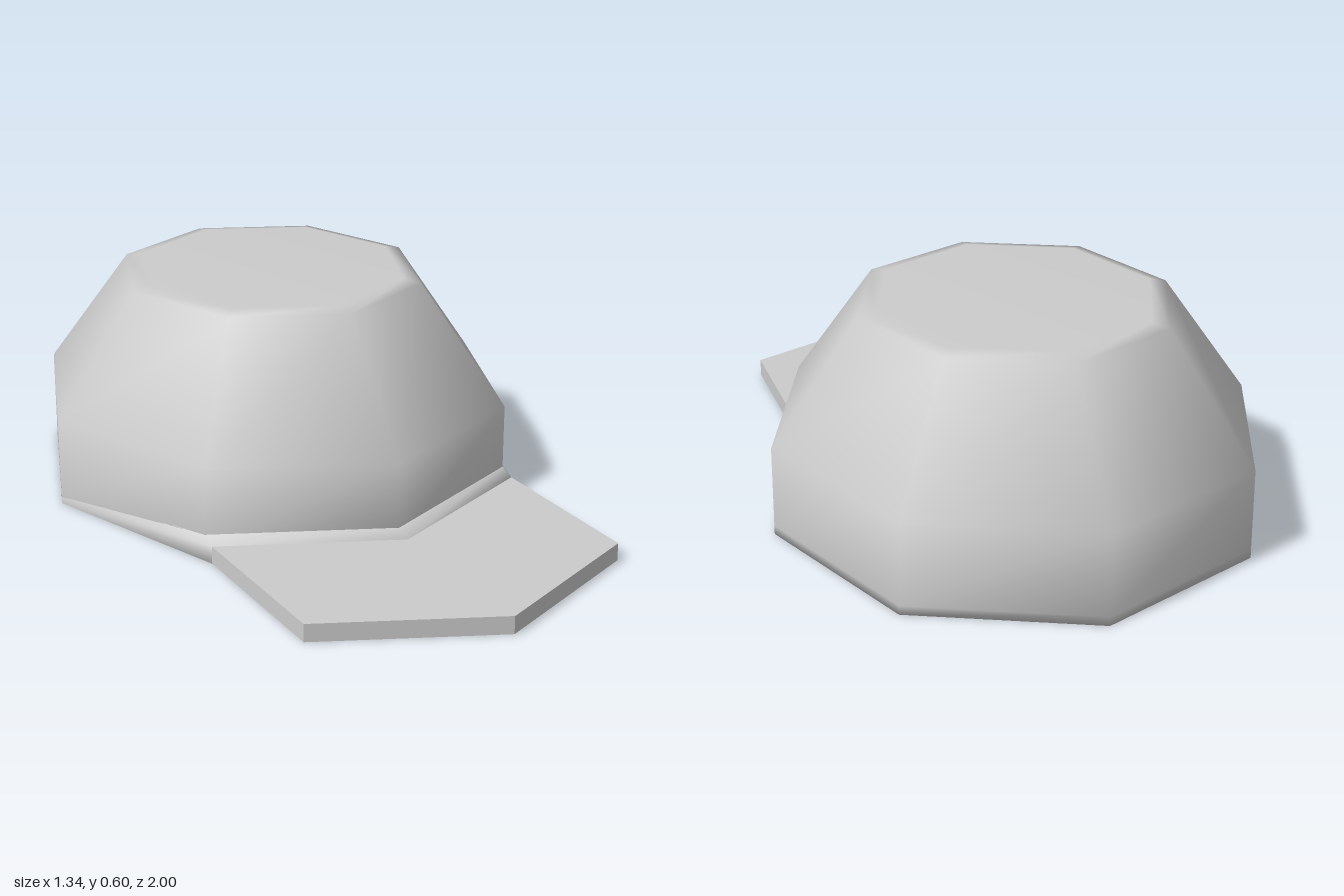
import * as THREE from 'three';

const SIDES = 8, CZ = -0.275, RX = 0.67, RZ = 0.725;

// Point of the octagonal crown outline, scaled by f, at height y
function crownPoint(j, f, y) {
  const t = (j / SIDES) * Math.PI * 2;
  return [RX * f * Math.sin(t), y, CZ + RZ * f * Math.cos(t)];
}

// Smooth skin through rows of points
function loft(rows, closed) {
  const n = rows[0].length, index = [];
  for (let i = 0; i < rows.length - 1; i++) {
    for (let j = 0; j < (closed ? n : n - 1); j++) {
      const k = (j + 1) % n;
      const a = i * n + j, b = i * n + k, c = (i + 1) * n + k, d = (i + 1) * n + j;
      index.push(a, b, c, a, c, d);
    }
  }
  const geo = new THREE.BufferGeometry();
  geo.setAttribute('position', new THREE.Float32BufferAttribute(rows.flat(2), 3));
  geo.setIndex(index);
  geo.computeVertexNormals();
  return geo;
}

// Closed octagonal skin from a profile of [scale, height]
function crownLoft(profile) {
  return loft(profile.map(([f, y]) =>
    Array.from({ length: SIDES }, (_, j) => crownPoint(j, f, y))), true);
}

export function createModel() {
  const group = new THREE.Group();
  const material = new THREE.MeshStandardMaterial({ color: 0xcccccc });
  const add = (name, geo, mat = material) => {
    const mesh = new THREE.Mesh(geo, mat);
    mesh.name = name;
    group.add(mesh);
  };

  // Outer crown with the inward-turned rim at the opening
  add('crown', crownLoft([
    [0.945, 0.107], [0.945, 0.012], [0.97, 0], [1, 0], [1, 0.025], [1, 0.25],
    [0.64, 0.59], [0.57, 0.6], [0, 0.6],
  ]));

  // Flat inner wall and ceiling of the opening
  const flat = material.clone();
  flat.flatShading = true;
  add('innerBand', crownLoft([[0.945, 0.23], [0.945, 0.107]]), flat);
  add('lining', crownLoft([[0, 0.23], [0.945, 0.23]]), flat);

  // Flared collar joining crown and brim, fading out at the sides
  const front = [-2, -1, 0, 1, 2];
  const isSide = (j) => Math.abs(j) === 2;
  const flared = (j, y) => {
    const p = crownPoint(j, 1, y);
    if (!isSide(j)) p[2] += 0.045;
    return p;
  };
  add('brimCollar', loft([
    front.map((j) => crownPoint(j, 1, 0)),
    front.map((j) => flared(j, 0)),
    front.map((j) => flared(j, isSide(j) ? 0.02 : 0.05)),
    front.map((j) => crownPoint(j, 1, isSide(j) ? 0.035 : 0.066)),
  ], false));

  // Brim: flat pointed plate, its back edge following the crown
  const outline = [[0.474, 0.238], [0.474, 0.785], [0, 1], [-0.474, 0.785], [-0.474, 0.238], [0, 0.45]];
  const shape = new THREE.Shape(outline.map(([x, z]) => new THREE.Vector2(x, -z)));
  const brim = new THREE.ExtrudeGeometry(shape, { depth: 0.05, bevelEnabled: false });
  brim.rotateX(-Math.PI / 2);
  add('brim', brim);

  return group;
}
